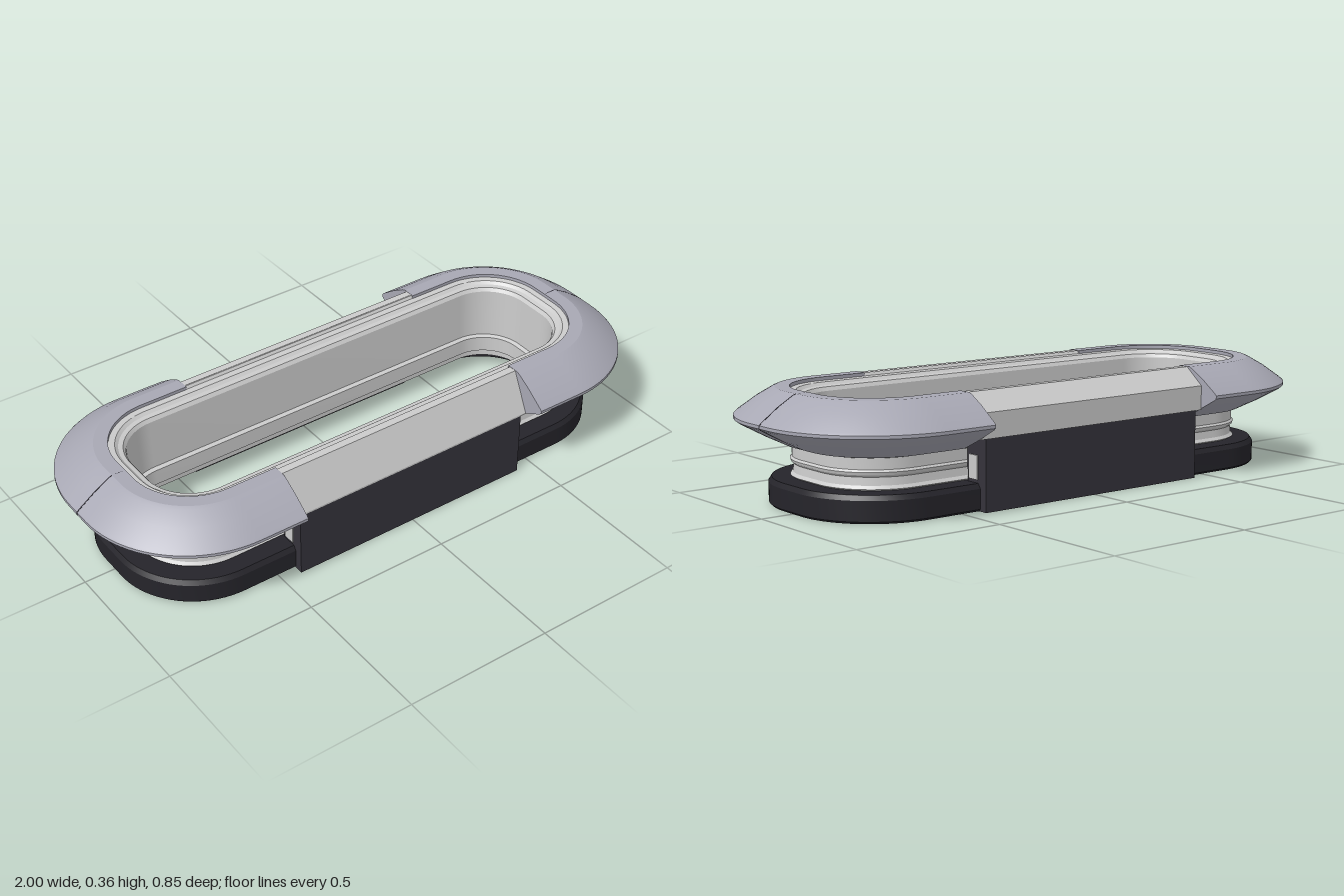
import * as THREE from 'three';
import { toCreasedNormals } from 'three/addons/utils/BufferGeometryUtils.js';

const H = 0.05; // half length of the short straight across each end
const C = 0.573 + H; // centre of the corner arcs on x
const ARC = 20;

const material = (color) => new THREE.MeshStandardMaterial({ color });
const grey = material(0xcccccc);
const metal = material(0xa8a8b4);
const dark = material(0x35333b);
const black = material(0x25242a);

// Stations round one end: corner centre and outward normal
function endPath(sign) {
  const path = [];
  for (const half of [-1, 0]) {
    for (let i = 0; i <= ARC; i++) {
      const t = (Math.PI / 2) * (half + i / ARC);
      const cz = half < 0 ? -H : H;
      path.push({ cx: sign * C, cz: sign * cz, nx: sign * Math.cos(t), nz: sign * Math.sin(t) });
    }
  }
  return path;
}

// Sweep a counterclockwise [offset, height] profile along the stations
function sweep(profile, path, closed) {
  const pos = [];
  const at = (s, p) => [s.cx + (p[0] - H) * s.nx, p[1], s.cz + (p[0] - H) * s.nz];
  const n = path.length;
  const m = profile.length;
  for (let i = 0; i < (closed ? n : n - 1); i++) {
    const s0 = path[i];
    const s1 = path[(i + 1) % n];
    for (let j = 0; j < m; j++) {
      const a = at(s0, profile[j]);
      const b = at(s0, profile[(j + 1) % m]);
      const c = at(s1, profile[(j + 1) % m]);
      const d = at(s1, profile[j]);
      pos.push(...a, ...b, ...c, ...a, ...c, ...d);
    }
  }
  if (!closed) {
    const tris = THREE.ShapeUtils.triangulateShape(profile.map((p) => new THREE.Vector2(...p)), []);
    for (const [a, b, c] of tris) {
      for (const k of [a, c, b]) pos.push(...at(path[0], profile[k]));
      for (const k of [a, b, c]) pos.push(...at(path[n - 1], profile[k]));
    }
  }
  const g = new THREE.BufferGeometry();
  g.setAttribute('position', new THREE.Float32BufferAttribute(pos, 3));
  return toCreasedNormals(g, 0.3);
}

// Bar along x from a [z, y] section
function bar(section, length) {
  const shape = new THREE.Shape(section.map((p) => new THREE.Vector2(...p)));
  const g = new THREE.ExtrudeGeometry(shape, { depth: length, bevelEnabled: false });
  return g.translate(0, 0, -length / 2).rotateY(-Math.PI / 2);
}

export function createModel() {
  const group = new THREE.Group();
  const add = (name, geometry, mat, x = 0, y = 0, z = 0) => {
    const mesh = new THREE.Mesh(geometry, mat);
    mesh.name = name;
    mesh.position.set(x, y, z);
    group.add(mesh);
  };
  const loop = [...endPath(1), ...endPath(-1)];

  // Dark foot ring
  add('baseRing', sweep([
    [0.275, 0], [0.318, 0], [0.325, 0.007], [0.325, 0.07], [0.315, 0.085], [0.25, 0.085], [0.25, 0.06], [0.275, 0.06],
  ], loop, true), black);

  // Neck with a shallow groove, low rim and inner wall with a ledge
  add('neck', sweep([
    [0.25, 0.06], [0.25, 0.085], [0.258, 0.09], [0.25, 0.1], [0.247, 0.125], [0.255, 0.132],
    [0.258, 0.141], [0.252, 0.148], [0.252, 0.183], [0.26, 0.19], [0.27, 0.2], [0.285, 0.24], [0.285, 0.36],
    [0.262, 0.36], [0.256, 0.351], [0.235, 0.349], [0.225, 0.34], [0.21, 0.337], [0.202, 0.325],
    [0.198, 0.15], [0.184, 0.145], [0.184, 0.09], [0.2, 0.085], [0.2, 0.06],
  ], loop, true), grey);

  // Flared collar round each end, with its centre seam
  const flare = [
    [0.255, 0.188], [0.275, 0.188], [0.345, 0.222], [0.418, 0.262], [0.427, 0.269],
    [0.427, 0.279], [0.42, 0.286], [0.36, 0.329], [0.312, 0.357], [0.3, 0.362], [0.255, 0.362],
  ];
  for (const s of [1, -1]) {
    const side = s > 0 ? 'left' : 'right';
    const arc = endPath(s);
    const path = [arc[0], ...arc, arc[arc.length - 1]].map((p) => ({ ...p }));
    path[0].cx = path[path.length - 1].cx = s * 0.455;
    add(side + 'Collar', sweep(flare, path, false), metal);
    const seam = [-0.002, 0.002].map((z) => ({ cx: s * C, cz: s * z, nx: s, nz: 0 }));
    add(side + 'CollarSeam', sweep(flare.map(([r, y]) => [r + 0.001, y]), seam, false), dark);
  }

  // Side panels: dark lower cover below a light upper cover
  for (const s of [1, -1]) {
    const side = s > 0 ? 'front' : 'back';
    add(side + 'LowerPanel', new THREE.BoxGeometry(0.87, 0.225, 0.09), dark, 0, 0.1125, s * 0.308);
    const shoulder = s > 0 ? [[0.353, 0.23], [0.29, 0.361]] : [[0.358, 0.225], [0.358, 0.305], [0.29, 0.361]];
    const section = [[0.25, 0.225], [0.353, 0.225], ...shoulder, [0.265, 0.361], [0.265, 0.3], [0.25, 0.3]];
    add(side + 'UpperPanel', bar(section.map(([z, y]) => [s * z, y]), 0.912), grey);
    // Light inserts on the panel ends
    for (const e of [1, -1]) {
      add(side + 'PanelInsert', new THREE.BoxGeometry(0.006, 0.075, 0.042), grey, e * 0.436, 0.133, s * 0.293);
    }
  }
  return group;
}
